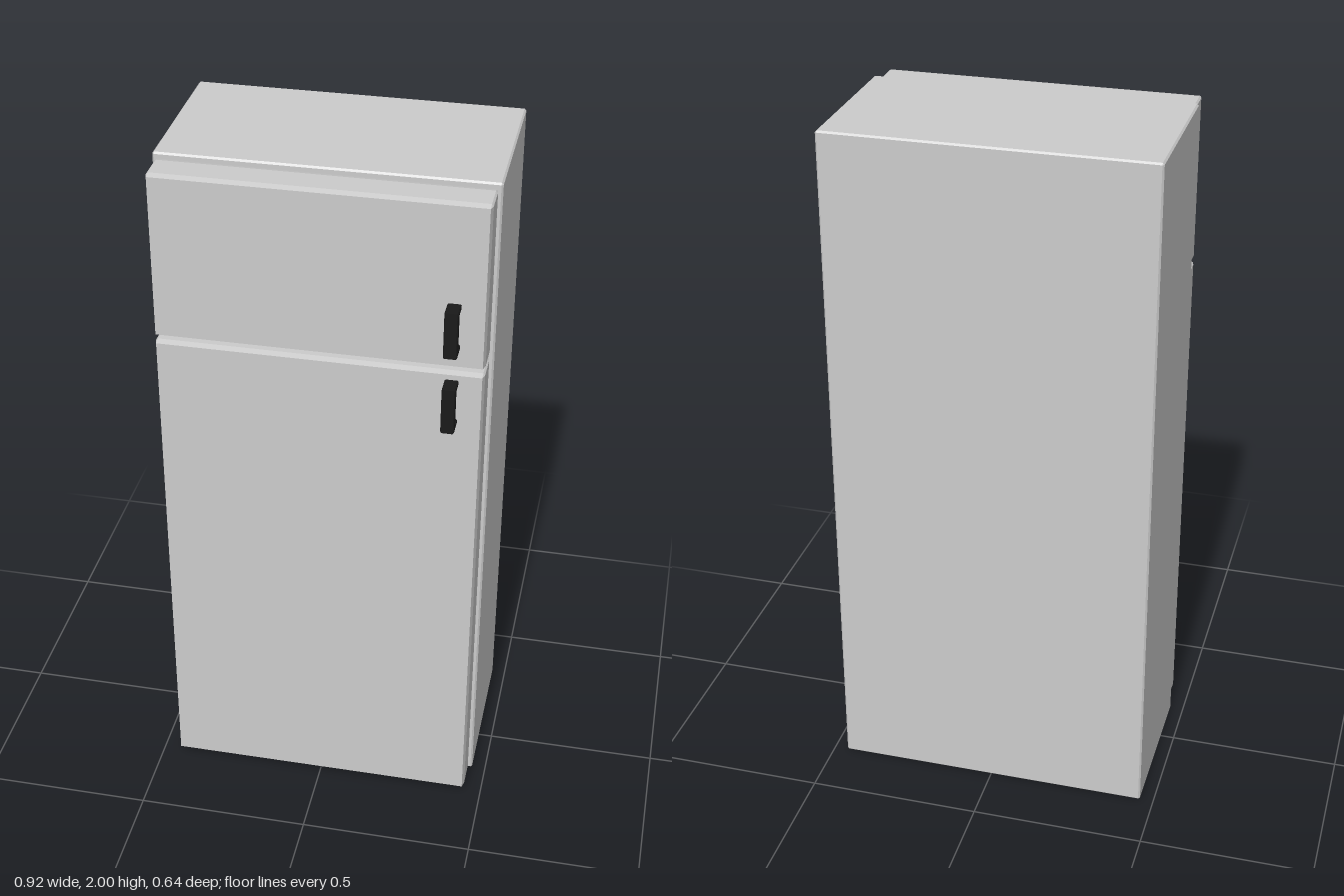
import * as THREE from 'three';
import { ConvexGeometry } from 'three/addons/geometries/ConvexGeometry.js';

const grey = new THREE.MeshStandardMaterial({ color: 0xcccccc, flatShading: true });
const black = new THREE.MeshStandardMaterial({ color: 0x1a1a1a, flatShading: true });

// Box between two corners, with a chamfer of its own along each axis
function chamferedBox(name, min, max, [cx, cy, cz]) {
  const size = max.map((m, i) => (m - min[i]) / 2);
  const [hx, hy, hz] = size;
  const points = [];
  for (const x of [-1, 1]) for (const y of [-1, 1]) for (const z of [-1, 1]) {
    points.push(
      new THREE.Vector3(x * hx, y * (hy - cy), z * (hz - cz)),
      new THREE.Vector3(x * (hx - cx), y * hy, z * (hz - cz)),
      new THREE.Vector3(x * (hx - cx), y * (hy - cy), z * hz)
    );
  }
  const mesh = new THREE.Mesh(new ConvexGeometry(points), grey);
  mesh.name = name;
  mesh.position.set(...min.map((m, i) => (m + max[i]) / 2));
  return mesh;
}

// C-shaped pull: profile in depth and height, extruded across the width
function handle(name, bottom) {
  const height = 0.135, depth = 0.053, grip = 0.023, leg = 0.015, width = 0.037, bevel = 0.003;
  const b = bevel;
  const profile = new THREE.Shape([
    [0, b], [depth - b, b], [depth - b, height - b], [0, height - b],
    [0, height - leg + b], [depth - grip + b, height - leg + b],
    [depth - grip + b, leg - b], [0, leg - b]
  ].map(([x, y]) => new THREE.Vector2(x, y)));
  const geometry = new THREE.ExtrudeGeometry(profile, {
    depth: width - 2 * b, bevelEnabled: true, bevelSize: b, bevelThickness: b, bevelSegments: 1
  });
  geometry.translate(0, 0, -(width - 2 * b) / 2).rotateY(-Math.PI / 2);
  const mesh = new THREE.Mesh(geometry, black);
  mesh.name = name;
  mesh.position.set(0.363, bottom, 0.267);
  return mesh;
}

export function createModel() {
  const group = new THREE.Group();
  group.name = 'refrigerator';

  // Cabinet
  group.add(chamferedBox('cabinet', [-0.46, 0, -0.32], [0.46, 2, 0.155], [0.005, 0.005, 0.005]));

  // Doors
  const doorChamfer = [0.005, 0.005, 0.018];
  group.add(chamferedBox('fridgeDoor', [-0.449, 0.018, 0.155], [0.449, 1.495, 0.267], doorChamfer));
  group.add(chamferedBox('freezerDoor', [-0.449, 1.513, 0.155], [0.449, 1.988, 0.267], doorChamfer));

  // Handles
  group.add(handle('fridgeHandle', 1.34));
  group.add(handle('freezerHandle', 1.57));

  return group;
}
